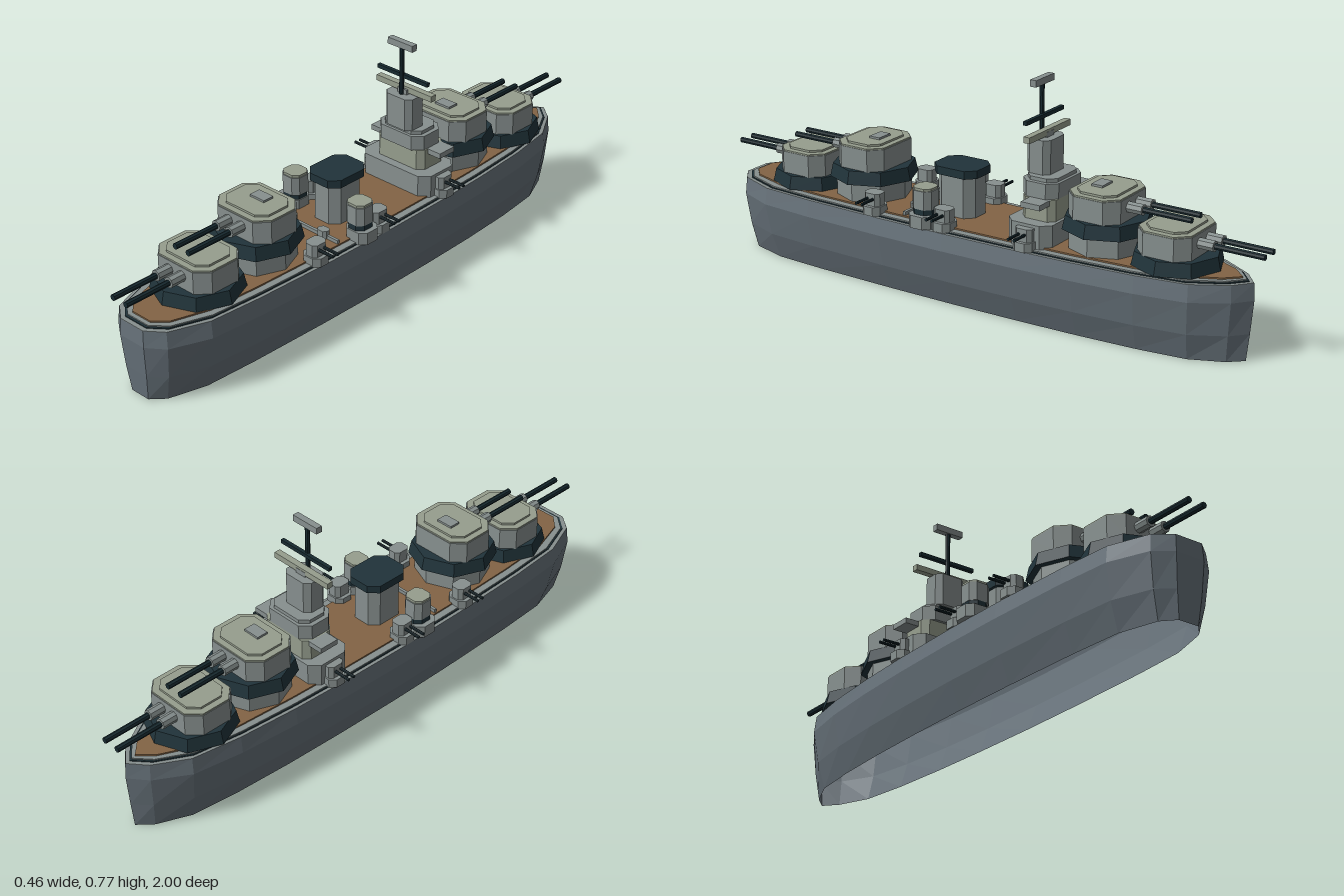
import * as THREE from 'three';

const mat = (name, color) => Object.assign(new THREE.MeshStandardMaterial({ color, flatShading: true }), { name });

export function createModel() {
  const ship = new THREE.Group();
  ship.name = 'warship';
  const hullGrey = mat('hull grey', 0x67727a);
  hullGrey.side = THREE.DoubleSide;
  const grey = mat('light grey', 0x87908f);
  const roof = mat('pale green grey', 0x969e8e);
  const dark = mat('dark slate', 0x20333a);
  const gun = mat('gun black', 0x172a30);
  const wood = mat('deck brown', 0x836445);

  const add = (parent, name, geo, material, x = 0, y = 0, z = 0) => {
    const m = new THREE.Mesh(geo, material);
    m.name = name;
    m.position.set(x, y, z);
    parent.add(m);
    return m;
  };
  // box given by its centre in x and z and its bottom and top heights
  const box = (parent, name, material, w, d, y0, y1, x = 0, z = 0) =>
    add(parent, name, new THREE.BoxGeometry(w, y1 - y0, d), material, x, (y0 + y1) / 2, z);
  // upright prism over an outline of [x, z] points
  const prism = (parent, name, material, pts, y0, y1, x = 0, z = 0) => {
    const shape = new THREE.Shape(pts.map(p => new THREE.Vector2(p[0], -p[1])));
    const geo = new THREE.ExtrudeGeometry(shape, { depth: y1 - y0, bevelEnabled: false });
    geo.rotateX(-Math.PI / 2);
    return add(parent, name, geo, material, x, y0, z);
  };
  // rectangle with cut corners
  const cut = (w, d, c) => {
    const a = w / 2, b = d / 2;
    return [[-a, b - c], [-a + c, b], [a - c, b], [a, b - c], [a, c - b], [a - c, -b], [c - a, -b], [-a, c - b]];
  };
  // cylinder lying along z from z0 to z1
  const rod = (parent, name, material, r, z0, z1, x, y, z = 0) => {
    const geo = new THREE.CylinderGeometry(r, r, z1 - z0, 8);
    geo.rotateX(Math.PI / 2);
    return add(parent, name, geo, material, x, y, z + (z0 + z1) / 2);
  };

  // half outline from stern to bow as [half width, z]
  const half = [[0.052, 0.963], [0.11, 0.92], [0.163, 0.79], [0.178, 0.6], [0.188, 0.3], [0.19, 0.05],
    [0.185, -0.2], [0.175, -0.42], [0.157, -0.63], [0.128, -0.8], [0.06, -0.91]];
  const outline = [...half, [0, -0.957], ...half.map(([x, z]) => [-x, z]).reverse()];
  const scaled = (sx, sz) => outline.map(([x, z]) => [x * sx, z * sz]);

  // hull skin: rings of the outline, open below
  const levels = [[0, 0.69, 0.98], [0.09, 0.88, 0.99], [0.2, 1, 1], [0.255, 0.95, 0.997]];
  const pos = [], idx = [], n = outline.length;
  for (const [y, sx, sz] of levels) for (const [x, z] of scaled(sx, sz)) pos.push(x, y, z);
  for (let l = 0; l < levels.length - 1; l++) {
    for (let i = 0; i < n; i++) {
      const j = (i + 1) % n, a = l * n + i, b = l * n + j;
      idx.push(a, b, b + n, a, b + n, a + n);
    }
  }
  const skin = new THREE.BufferGeometry();
  skin.setAttribute('position', new THREE.Float32BufferAttribute(pos, 3));
  skin.setIndex(idx);
  skin.computeVertexNormals();
  add(ship, 'hull', skin, hullGrey);

  // deck layers
  prism(ship, 'deckEdge', grey, scaled(0.95, 0.996), 0.248, 0.256);
  prism(ship, 'waterway', dark, scaled(0.89, 0.98), 0.256, 0.259);
  prism(ship, 'sideDeck', grey, scaled(0.87, 0.972), 0.259, 0.263);
  prism(ship, 'woodDeck', wood, scaled(0.74, 0.957), 0.263, 0.268);

  // main twin turrets, built facing +z
  const turret = (name, z, lift, turn) => {
    const t = new THREE.Group();
    t.name = name;
    t.position.set(0, lift, z);
    t.rotation.y = turn;
    ship.add(t);
    if (lift) add(t, 'barbette', new THREE.CylinderGeometry(0.125, 0.125, 0.075, 8), grey, 0, 0.235, 0);
    add(t, 'turretRing', new THREE.CylinderGeometry(0.137, 0.147, 0.045, 8), dark, 0, 0.289, 0);
    prism(t, 'gunhouse', grey, cut(0.232, 0.185, 0.04), 0.31, 0.385, 0, -0.005);
    prism(t, 'turretRoof', roof, cut(0.228, 0.18, 0.04), 0.385, 0.39, 0, -0.005);
    prism(t, 'roofPlate', roof, cut(0.185, 0.14, 0.03), 0.39, 0.397, 0, -0.005);
    if (lift) box(t, 'roofHatch', grey, 0.06, 0.04, 0.397, 0.404, 0, -0.025);
    for (const x of [-0.028, 0.028]) {
      rod(t, 'gunSleeve', grey, 0.018, 0.07, 0.14, x, 0.355);
      rod(t, 'mainGun', gun, 0.01, 0.13, 0.305, x, 0.355);
    }
  };
  for (const [side, s, turn] of [['stern', 1, 0], ['bow', -1, Math.PI]]) {
    turret(side + 'LowTurret', s * 0.695, 0, turn);
    turret(side + 'HighTurret', s * 0.45, 0.065, turn);
  }

  // bridge, tower and mast
  const bridge = new THREE.Group();
  bridge.name = 'bridge';
  ship.add(bridge);
  prism(bridge, 'bridgeBase', grey, cut(0.29, 0.16, 0.03), 0.263, 0.34, 0, -0.24);
  prism(bridge, 'bridgeRoom', roof, cut(0.2, 0.12, 0.02), 0.34, 0.41, 0, -0.25);
  box(bridge, 'bridgeWing', grey, 0.3, 0.07, 0.392, 0.41, 0, -0.26);
  prism(bridge, 'upperBridge', grey, cut(0.19, 0.13, 0.03), 0.41, 0.46, 0, -0.245);
  prism(bridge, 'bridgeRoof', grey, cut(0.16, 0.11, 0.025), 0.46, 0.472, 0, -0.245);
  prism(bridge, 'tower', grey, cut(0.112, 0.085, 0.018), 0.472, 0.583, 0, -0.22);
  box(bridge, 'rangefinder', roof, 0.236, 0.022, 0.588, 0.608, 0, -0.225);
  box(bridge, 'rangefinderMount', grey, 0.04, 0.03, 0.583, 0.6, 0, -0.222);
  add(bridge, 'mast', new THREE.CylinderGeometry(0.008, 0.008, 0.17, 8), gun, 0, 0.665, -0.205);
  box(bridge, 'yard', gun, 0.214, 0.013, 0.64, 0.653, 0, -0.212);
  box(bridge, 'radar', grey, 0.104, 0.022, 0.748, 0.77, 0, -0.205);

  // funnel
  prism(ship, 'funnel', grey, cut(0.115, 0.14, 0.028), 0.263, 0.41, 0, 0.095);
  prism(ship, 'funnelCap', dark, cut(0.135, 0.165, 0.03), 0.405, 0.432, 0, 0.095);

  for (const s of [1, -1]) {
    // side gun houses
    prism(ship, 'sponson', grey, cut(0.09, 0.085, 0.02), 0.258, 0.3, s * 0.15, 0.14);
    prism(ship, 'sideTurretRing', dark, cut(0.07, 0.075, 0.02), 0.3, 0.318, s * 0.143, 0.14);
    prism(ship, 'sideTurret', grey, cut(0.076, 0.075, 0.018), 0.318, 0.38, s * 0.141, 0.14);
    prism(ship, 'sideTurretRoof', roof, cut(0.07, 0.068, 0.016), 0.38, 0.388, s * 0.141, 0.14);
    // twin light guns pointing outboard
    for (const z of [-0.243, 0.065, 0.34]) {
      const mount = new THREE.Group();
      mount.name = 'lightGunMount';
      mount.position.set(s * 0.145, 0, z);
      mount.rotation.y = s * Math.PI / 2;
      ship.add(mount);
      prism(mount, 'mountBase', grey, cut(0.07, 0.075, 0.018), 0.258, 0.288);
      prism(mount, 'gunShield', grey, cut(0.06, 0.05, 0.012), 0.288, 0.33);
      for (const x of [-0.011, 0.011]) rod(mount, 'lightGun', gun, 0.005, 0.01, 0.085, x, 0.312);
    }
    // deck winches
    prism(ship, 'winch', grey, cut(0.04, 0.03, 0.009), 0.268, 0.295, s * 0.07, 0.23);
  }
  box(ship, 'breakwater', grey, 0.27, 0.01, 0.264, 0.28, 0, 0.23);

  return ship;
}
